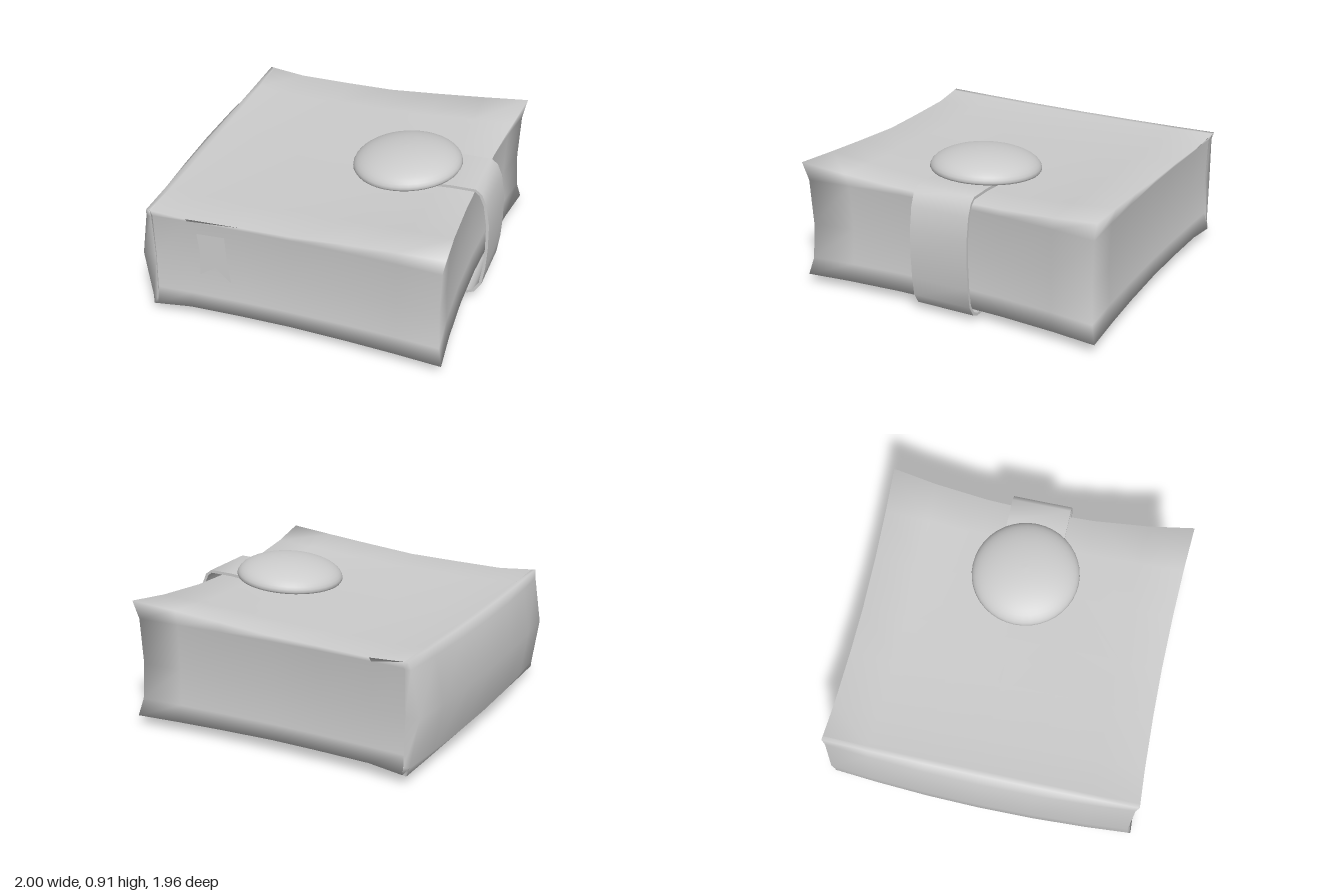
import * as THREE from 'three';
import { mergeVertices, toCreasedNormals } from 'three/addons/utils/BufferGeometryUtils.js';

const material = new THREE.MeshStandardMaterial({ color: 0xcccccc, side: THREE.DoubleSide });

function addMesh(group, name, geometry) {
  const mesh = new THREE.Mesh(geometry, material);
  mesh.name = name;
  group.add(mesh);
  return mesh;
}

// Box with uneven rows, one open side, a vertex rule and soft normals
function softBox(xs, ys, zs, openSide, rule) {
  const axes = [xs, ys, zs];
  const n = axes.map(a => a.length - 1);
  const geo = new THREE.BoxGeometry(2, 2, 2, ...n);
  const p = geo.attributes.position;
  for (let i = 0; i < p.count; i++) {
    const id = [p.getX(i), p.getY(i), p.getZ(i)].map((v, a) => Math.round((v + 1) / 2 * n[a]));
    p.setXYZ(i, ...rule(id, id.map((k, a) => axes[a][k])));
  }
  const { start, count } = geo.groups[openSide];
  const index = Array.from(geo.index.array);
  index.splice(start, count);
  geo.setIndex(index);
  geo.clearGroups();
  geo.deleteAttribute('normal');
  geo.deleteAttribute('uv');
  const merged = mergeVertices(geo, 1e-4);
  merged.computeVertexNormals();
  return merged;
}

// Sagging outline shared by covers and spine
const HALF = 0.98;
const hump = x => 0.1 * Math.max(0, -x - 0.65);
const topY = (x, w) => 0.72 + 0.02 * x + hump(x) + w * w * (0.015 + 0.06 * Math.max(0, x));
const bottomY = x => 0.08 - 0.02 * Math.max(0, x) - hump(x);
const sideZ = x => 0.95 + 0.035 * x * x;
const zRows = [-HALF, -0.7, -0.35, 0, 0.35, 0.7, HALF];

export function createModel() {
  const group = new THREE.Group();

  // Covers and page block, flared out at the corners
  const inset = [0, 0.025, 0.035, 0.025, 0];
  addMesh(group, 'coversAndPages', softBox(
    [-0.87, -0.65, -0.3, 0, 0.35, 0.65, 0.88], [0.06, 0.17, 0.4, 0.69, 0.75], zRows, 1,
    ([i, j], [x, y, z]) => {
      const w = z / HALF;
      if (i === 6) x += 0.065 * w * w - inset[j];
      if (j === 0) y = bottomY(x);
      if (j === 4) y = topY(x, w);
      return [x, y, w * (sideZ(x) - inset[j])];
    }));

  // Rounded spine
  const spineX = [-0.905, -0.95, -1, -0.95, -0.905];
  addMesh(group, 'spine', softBox(
    [-0.95, -0.87], [0.06, 0.1, 0.4, 0.69, 0.74], zRows, 0,
    ([i, j], [x, y, z]) => {
      const w = z / HALF;
      if (i === 0) x = spineX[j] + (j % 4 ? 0.045 : 0.01) * w * w;
      if (j === 0) y = bottomY(x);
      if (j === 4) y = topY(x, w);
      const pull = j % 4 ? [0, 0.012, 0.028, 0.012][j] : 0;
      return [x, y, w * (sideZ(-0.88) - pull - (i === 0 && j % 4 ? 0.006 : 0))];
    }));

  // Strap: a thin band swept around the open edge
  const path = [
    [0.5, 0.765], [0.75, 0.785], [0.9, 0.787], [0.935, 0.76], [0.965, 0.69], [0.988, 0.55],
    [0.99, 0.38], [0.982, 0.24], [0.965, 0.12], [0.925, 0.055], [0.88, 0.035], [0.6, 0.048], [0.27, 0.042],
  ].map(([x, y]) => new THREE.Vector2(x, y));
  const offset = side => path.map((p, i) => {
    const t = path[Math.min(i + 1, path.length - 1)].clone().sub(path[Math.max(i - 1, 0)]).normalize();
    return new THREE.Vector2(p.x - t.y * side, p.y + t.x * side);
  });
  const band = new THREE.Shape([...offset(0.009), ...offset(-0.009).reverse()]);
  const strapGeo = new THREE.ExtrudeGeometry(band, { depth: 0.38, bevelEnabled: false });
  strapGeo.translate(0, 0, -0.19);
  addMesh(group, 'strap', toCreasedNormals(strapGeo, 0.7));

  // Domed clasp, tilted with the cover
  const profile = [[0, 0], [0.3, 0], [0.333, 0.006]].map(p => new THREE.Vector2(...p));
  for (let i = 0; i <= 12; i++) {
    const a = i / 12 * Math.PI / 2;
    profile.push(new THREE.Vector2(0.34 * Math.cos(a), 0.018 + 0.122 * Math.sin(a)));
  }
  const dome = addMesh(group, 'claspDome', new THREE.LatheGeometry(profile, 40));
  dome.position.set(0.42, 0.765, 0);
  dome.rotation.z = 0.075;

  // Small stud under the strap end
  const stud = addMesh(group, 'strapStud', new THREE.SphereGeometry(1, 20, 12));
  stud.scale.set(0.063, 0.028, 0.063);
  stud.position.set(0.415, 0.028, 0);

  // Swallow-tailed bookmark ribbon on the page edge
  const ribbon = new THREE.Shape([
    [-0.59, 0.62], [-0.575, 0.5], [-0.58, 0.33], [-0.48, 0.4], [-0.38, 0.31], [-0.4, 0.46], [-0.41, 0.63],
  ].map(p => new THREE.Vector2(...p)));
  const ribbonMesh = addMesh(group, 'bookmarkRibbon', new THREE.ShapeGeometry(ribbon));
  ribbonMesh.position.z = 0.948;

  return group;
}
